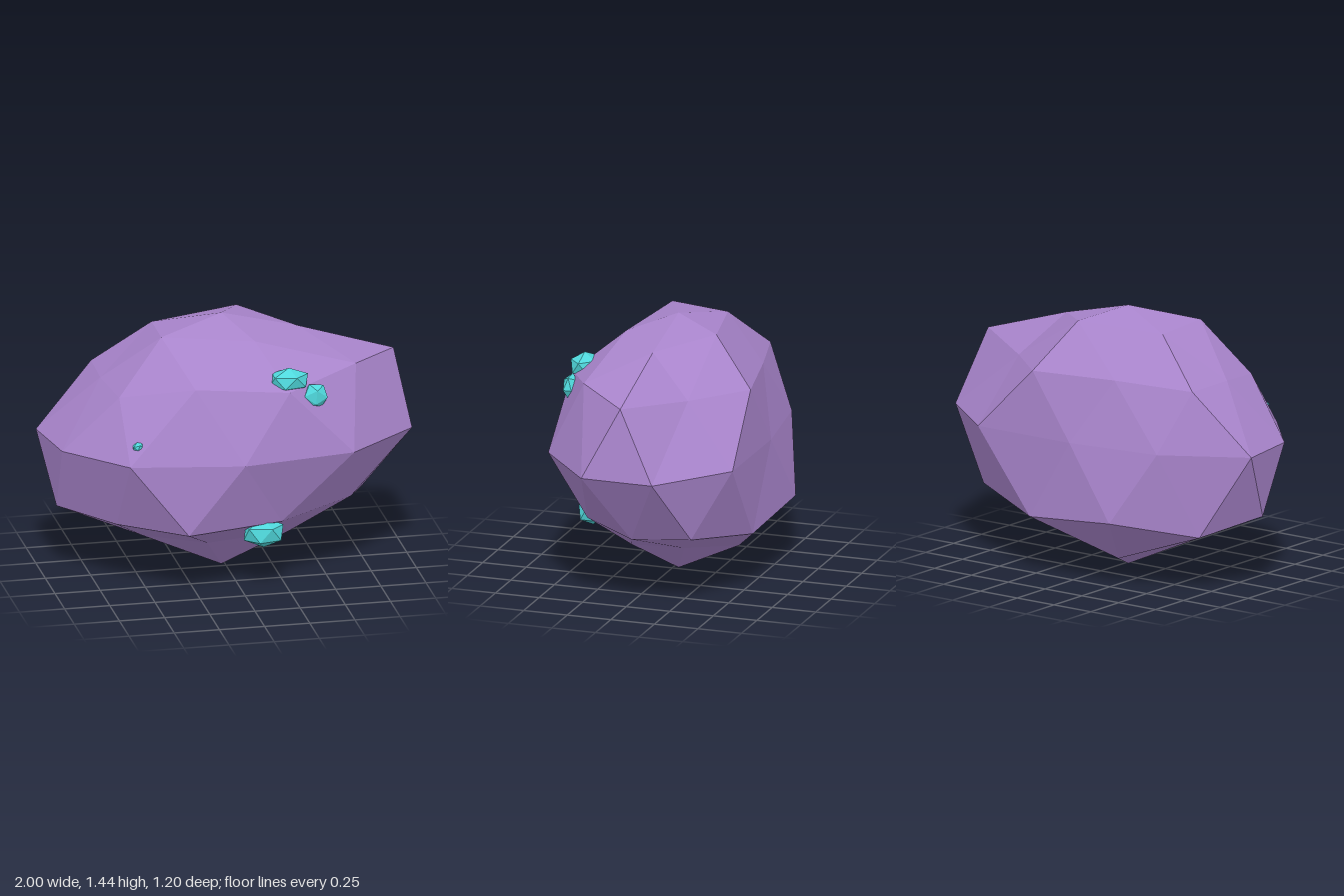
import * as THREE from 'three';
import { ConvexGeometry } from 'three/addons/geometries/ConvexGeometry.js';

const rad = THREE.MathUtils.degToRad;

// Points of a unit sphere: each ring is [height, first angle in degrees, radii around the ring]
function ringPoints(rings) {
  const points = [];
  for (const [y, start, radii] of rings) {
    const h = Math.sqrt(1 - y * y);
    radii.forEach((radius, i) => {
      const a = rad(start + (i * 360) / radii.length);
      points.push({ dir: new THREE.Vector3(h * Math.cos(a), y, h * Math.sin(a)), radius });
    });
  }
  return points;
}

// Triangulates the sphere points, then pushes every corner out to its own radius
function facetedGeometry(rings, sx, sy, sz) {
  const points = ringPoints(rings);
  const geo = new ConvexGeometry(points.map((p) => p.dir));
  const pos = geo.attributes.position;
  const v = new THREE.Vector3();
  for (let i = 0; i < pos.count; i++) {
    v.fromBufferAttribute(pos, i);
    const hit = points.reduce((a, b) => (b.dir.dot(v) > a.dir.dot(v) ? b : a));
    v.multiplyScalar(hit.radius);
    pos.setXYZ(i, v.x * sx, v.y * sy, v.z * sz);
  }
  geo.computeVertexNormals();
  return geo;
}

// Boulder: once-subdivided icosphere with uneven radii
const boulderRings = [
  [1, 0, [0.803]],
  [0.8506, 0, [0.797, 0.82, 0.863, 0.83, 0.863]],
  [0.5257, 36, [0.988, 0.905, 0.787, 0.82, 0.807]],
  [0.4472, 0, [1.065, 0.98, 0.863, 0.91, 0.966]],
  [0, 18, [1.065, 1.06, 1.02, 1.045, 0.968, 1.035, 0.92, 0.86, 1.057, 1.072]],
  [-0.4472, 36, [0.905, 1.083, 1.02, 1.08, 1.015]],
  [-0.5257, 0, [0.907, 0.907, 0.93, 1.06, 1.045]],
  [-0.8506, 36, [0.80, 0.80, 0.83, 0.95, 0.79]],
  [-1, 0, [0.942]],
];

// Crystal: plain icosahedron standing on a point
const five = [1, 1, 1, 1, 1];
const crystalRings = [[1, 0, [1]], [0.4472, 0, five], [-0.4472, 36, five], [-1, 0, [1]]];

// [centre, half sizes, tilt about z]
const crystals = [
  [[0.26, 1.19, 0.41], [0.118, 0.07, 0.08], 0],
  [[0.4, 1.1, 0.44], [0.075, 0.075, 0.045], 0.45],
  [[0.12, 0.325, 0.41], [0.122, 0.085, 0.085], 0],
  [[-0.58, 0.88, 0.44], [0.036, 0.025, 0.03], 0.3],
];

export function createModel() {
  const group = new THREE.Group();
  group.name = 'crystalBoulder';

  const stone = new THREE.MeshStandardMaterial({ color: 0xa884cb, flatShading: true });
  const gem = new THREE.MeshStandardMaterial({ color: 0x4fd8dc, flatShading: true });

  const boulder = new THREE.Mesh(facetedGeometry(boulderRings, 1, 0.828, 0.617), stone);
  boulder.name = 'boulder';
  boulder.position.set(-0.02, 0.78, -0.03);
  group.add(boulder);

  crystals.forEach(([centre, size, tilt], i) => {
    const crystal = new THREE.Mesh(facetedGeometry(crystalRings, ...size), gem);
    crystal.name = `crystal${i + 1}`;
    crystal.position.set(...centre);
    crystal.rotation.z = tilt;
    group.add(crystal);
  });

  return group;
}
